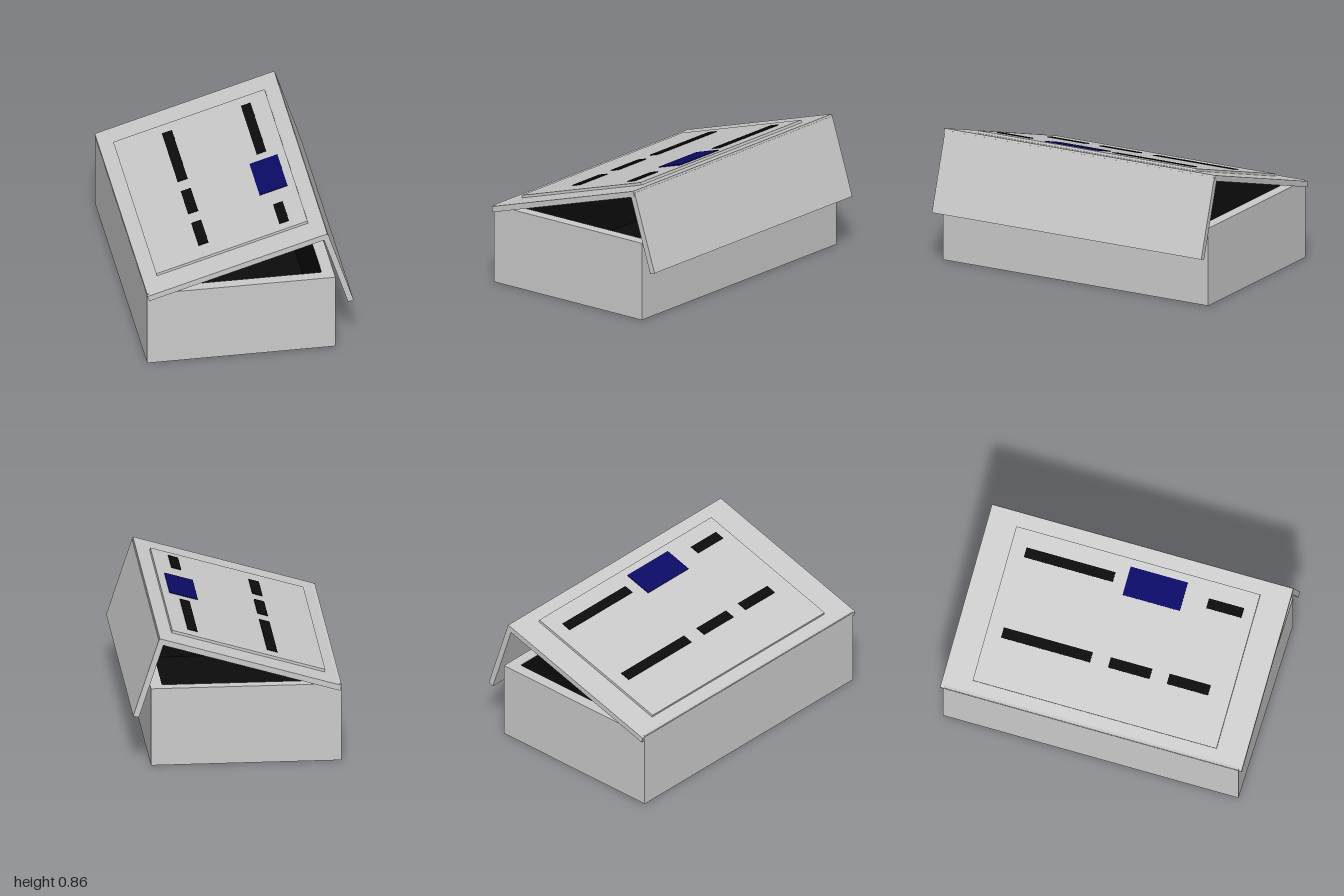
import * as THREE from 'three';

const grey = new THREE.MeshStandardMaterial({ color: 0xcccccc });
const black = new THREE.MeshStandardMaterial({ color: 0x0c0c0c });
const blue = new THREE.MeshStandardMaterial({ color: 0x0b0b66 });

const TILT = Math.atan2(0.348, 1.161);

export function createModel() {
  const model = new THREE.Group();

  const add = (parent, name, geometry, material) => {
    const mesh = new THREE.Mesh(geometry, material);
    mesh.name = name;
    parent.add(mesh);
    return mesh;
  };
  // box from its lower and upper corners
  const block = (parent, name, [x0, y0, z0], [x1, y1, z1], material = grey) =>
    add(parent, name, new THREE.BoxGeometry(x1 - x0, y1 - y0, z1 - z0)
      .translate((x0 + x1) / 2, (y0 + y1) / 2, (z0 + z1) / 2), material);

  const rectangle = (Type, w, d) => new Type([
    new THREE.Vector2(-w / 2, -d / 2), new THREE.Vector2(w / 2, -d / 2),
    new THREE.Vector2(w / 2, d / 2), new THREE.Vector2(-w / 2, d / 2),
  ]);
  // four upright walls around a rectangular opening
  const walls = (w, d, thickness, y0, y1) => {
    const shape = rectangle(THREE.Shape, w, d);
    shape.holes.push(rectangle(THREE.Path, w - 2 * thickness, d - 2 * thickness));
    return new THREE.ExtrudeGeometry(shape, { depth: y1 - y0, bevelEnabled: false })
      .rotateX(-Math.PI / 2).translate(-0.057, y0, 0);
  };

  // open box with dark lining
  const body = new THREE.Group();
  body.name = 'body';
  model.add(body);
  add(body, 'bodyWalls', walls(1.215, 1.96, 0.075, 0, 0.515), grey);
  block(body, 'bodyFloor', [-0.592, 0, -0.907], [0.478, 0.07, 0.907]);
  add(body, 'liningWalls', walls(1.067, 1.812, 0.005, 0.07, 0.512), black);
  block(body, 'liningFloor', [-0.59, 0.068, -0.905], [0.476, 0.076, 0.905], black);

  // lid, tilted about its upper left edge; local y = 0 is its top face
  const lid = new THREE.Group();
  lid.name = 'lid';
  lid.position.set(-0.666, 0.509, 0);
  lid.rotation.z = TILT;
  model.add(lid);
  block(lid, 'lidPlate', [0, -0.037, -1], [1.212, 0, 1]);
  block(lid, 'raisedPanel', [0.098, 0, -0.81], [1.118, 0.017, 0.808]);

  // inlays, given by their extents along x and z as seen from above
  const inlay = (name, x0, x1, z0, z1, material) => {
    const along = (x) => (x + 0.672) / Math.cos(TILT);
    block(lid, name, [along(x0), 0.014, z0], [along(x1), 0.022, z1], material);
  };
  for (const [z0, z1] of [[-0.71, -0.12], [0, 0.275], [0.39, 0.663]])
    inlay('leftSlot', -0.28, -0.215, z0, z1, black);
  for (const [z0, z1] of [[-0.71, -0.12], [0.5, 0.733]])
    inlay('rightSlot', 0.23, 0.292, z0, z1, black);
  inlay('bluePad', 0.17, 0.35, -0.037, 0.343, blue);

  // side flap hanging from the lid
  const flapProfile = new THREE.Shape([
    [0.63, 0.33], [0.666, 0.341], [0.502, 0.845], [0.466, 0.834],
  ].map(([x, y]) => new THREE.Vector2(x, y)));
  add(model, 'sideFlap', new THREE.ExtrudeGeometry(flapProfile,
    { depth: 1.99, bevelEnabled: false }).translate(0, 0, -0.997), grey);

  return model;
}
